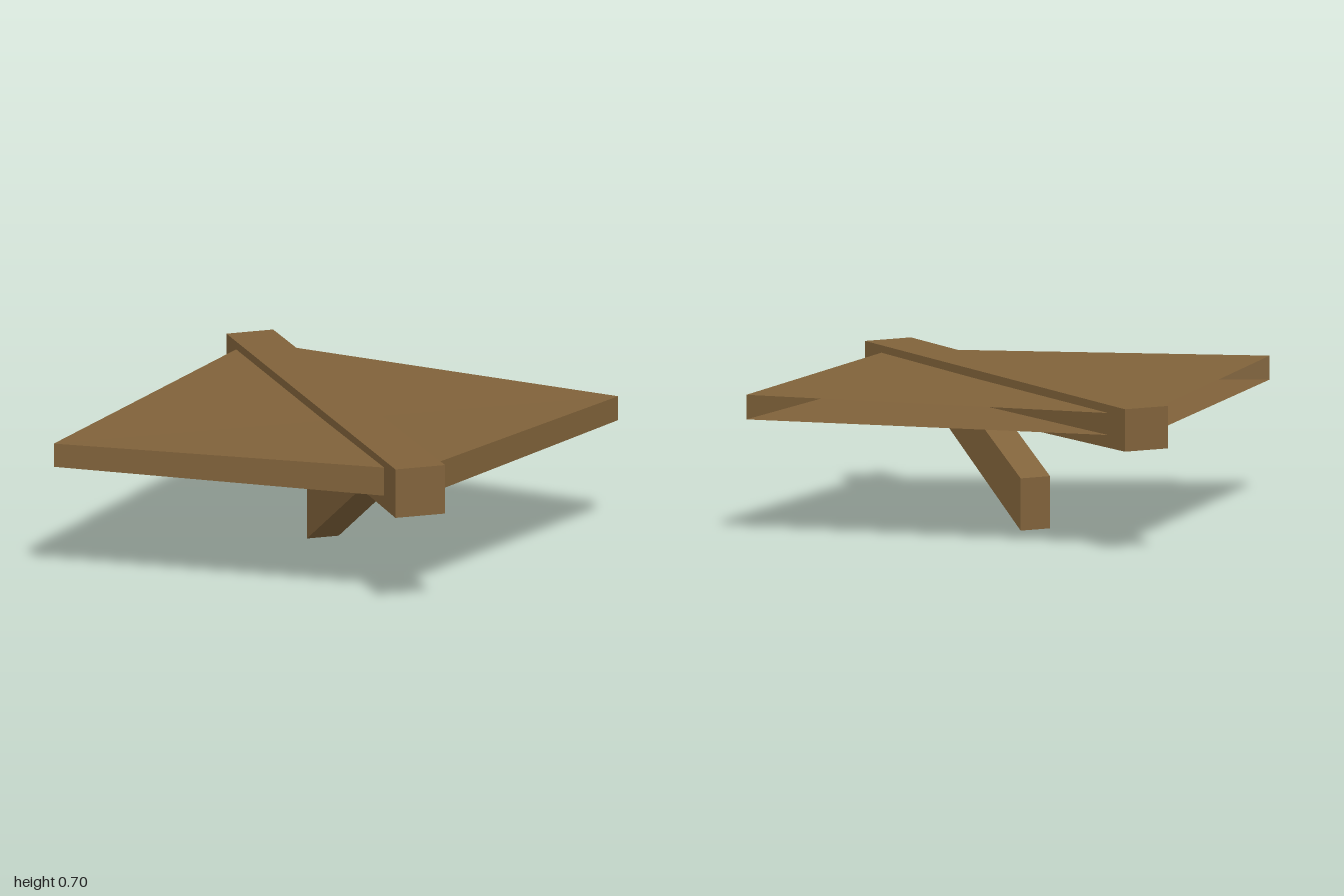
import * as THREE from 'three';

const wood = new THREE.MeshStandardMaterial({ color: 0x80623a, side: THREE.DoubleSide });
wood.name = 'brown wood';

// Block between a lower and an upper ring of four [x, y, z] corners
// (counter-clockwise from above). Only the listed sides are closed.
function block(name, lower, upper, sides = [0, 1, 2, 3]) {
  const quads = [upper, [...lower].reverse()];
  for (const i of sides) {
    const j = (i + 1) % 4;
    quads.push([lower[i], lower[j], upper[j], upper[i]]);
  }
  const points = quads.flatMap(([a, b, c, d]) => [a, b, c, a, c, d]).flat();
  const geometry = new THREE.BufferGeometry();
  geometry.setAttribute('position', new THREE.Float32BufferAttribute(points, 3));
  geometry.computeVertexNormals();
  const mesh = new THREE.Mesh(geometry, wood);
  mesh.name = name;
  return mesh;
}

// Block from a plan of [x, z, bottom, top] corners
function slab(name, plan, sides) {
  return block(
    name,
    plan.map(([x, z, bottom]) => [x, bottom, z]),
    plan.map(([x, z, , top]) => [x, top, z]),
    sides
  );
}

export function createModel() {
  const model = new THREE.Group();
  model.name = 'boardOnBeam';

  // Diagonal beam, slightly thicker at its front end
  model.add(slab('beam', [
    [-1, -0.84, 0.495, 0.69],
    [0.735, 0.745, 0.475, 0.705],
    [0.9, 0.575, 0.475, 0.705],
    [-0.845, -1, 0.495, 0.69],
  ]));

  // Hollow board, open along its left and back edges
  model.add(slab('board', [
    [-0.9, 0.99, 0.55, 0.66],
    [0.77, 0.605, 0.535, 0.671],
    [0.995, -0.9, 0.547, 0.66],
    [-0.9, -0.9, 0.553, 0.653],
  ], [0, 1]));

  // Slanted strut running up into the underside of the beam
  const front = [-0.225, -0.18];
  const back = [-0.12, -0.29];
  const along = ([x, z], s, y) => [x + 0.74 * s, y, z + 0.672 * s];
  model.add(block('strut',
    [along(front, 0, 0), along(front, 0.92, 0.55), along(back, 0.92, 0.55), along(back, 0, 0)],
    [along(front, 0, 0.24), along(front, 0.55, 0.55), along(back, 0.55, 0.55), along(back, 0, 0.24)]
  ));

  return model;
}
